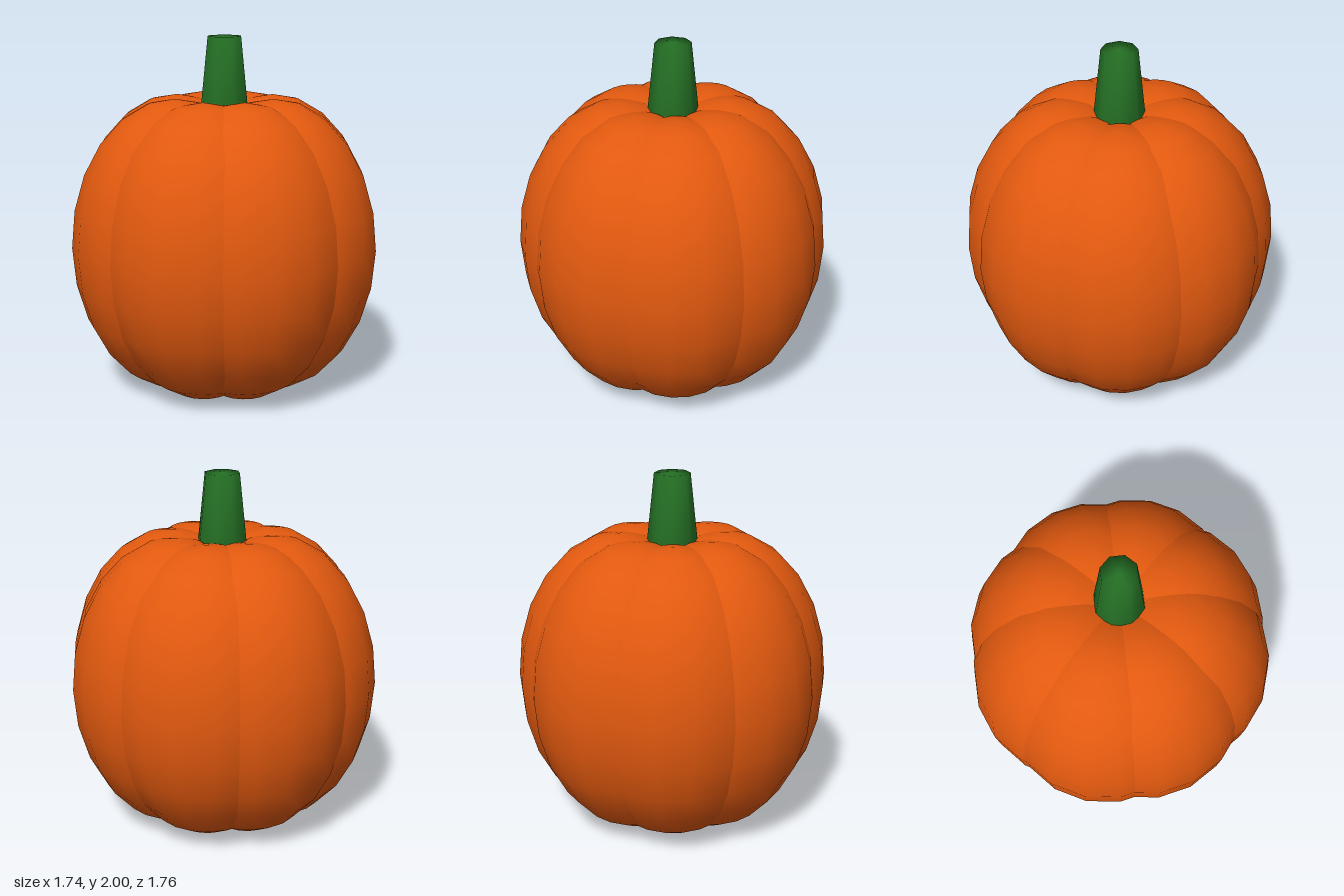
import * as THREE from 'three';
import { mergeVertices } from 'three/addons/utils/BufferGeometryUtils.js';

export function createModel() {
  const group = new THREE.Group();
  group.name = 'pumpkin';
  const orange = new THREE.MeshStandardMaterial({ name: 'pumpkin orange', color: 0xe2590f });
  const green = new THREE.MeshStandardMaterial({ name: 'stem green', color: 0x267326 });

  // Eight tall overlapping lobes around the axis, all facing the same way
  const radius = 0.585, halfHeight = 0.832, ring = 0.295, lobes = 8;
  const lobeGeometry = new THREE.SphereGeometry(1, 18, 12)
    .rotateY(Math.PI / 2)
    .scale(radius, halfHeight, radius);
  for (let i = 0; i < lobes; i++) {
    const a = (i / lobes) * Math.PI * 2;
    const lobe = new THREE.Mesh(lobeGeometry, orange);
    lobe.name = `lobe${i + 1}`;
    lobe.position.set(Math.sin(a) * ring, halfHeight, Math.cos(a) * ring);
    group.add(lobe);
  }

  // Tapered octagonal stem, shaded smoothly over its rim
  const bottom = 1.5, top = 2;
  const raw = new THREE.CylinderGeometry(0.1, 0.153, top - bottom, 8);
  raw.deleteAttribute('normal');
  raw.deleteAttribute('uv');
  const stemGeometry = mergeVertices(raw);
  stemGeometry.computeVertexNormals();
  const stem = new THREE.Mesh(stemGeometry, green);
  stem.name = 'stem';
  stem.position.y = (bottom + top) / 2;
  group.add(stem);

  return group;
}
